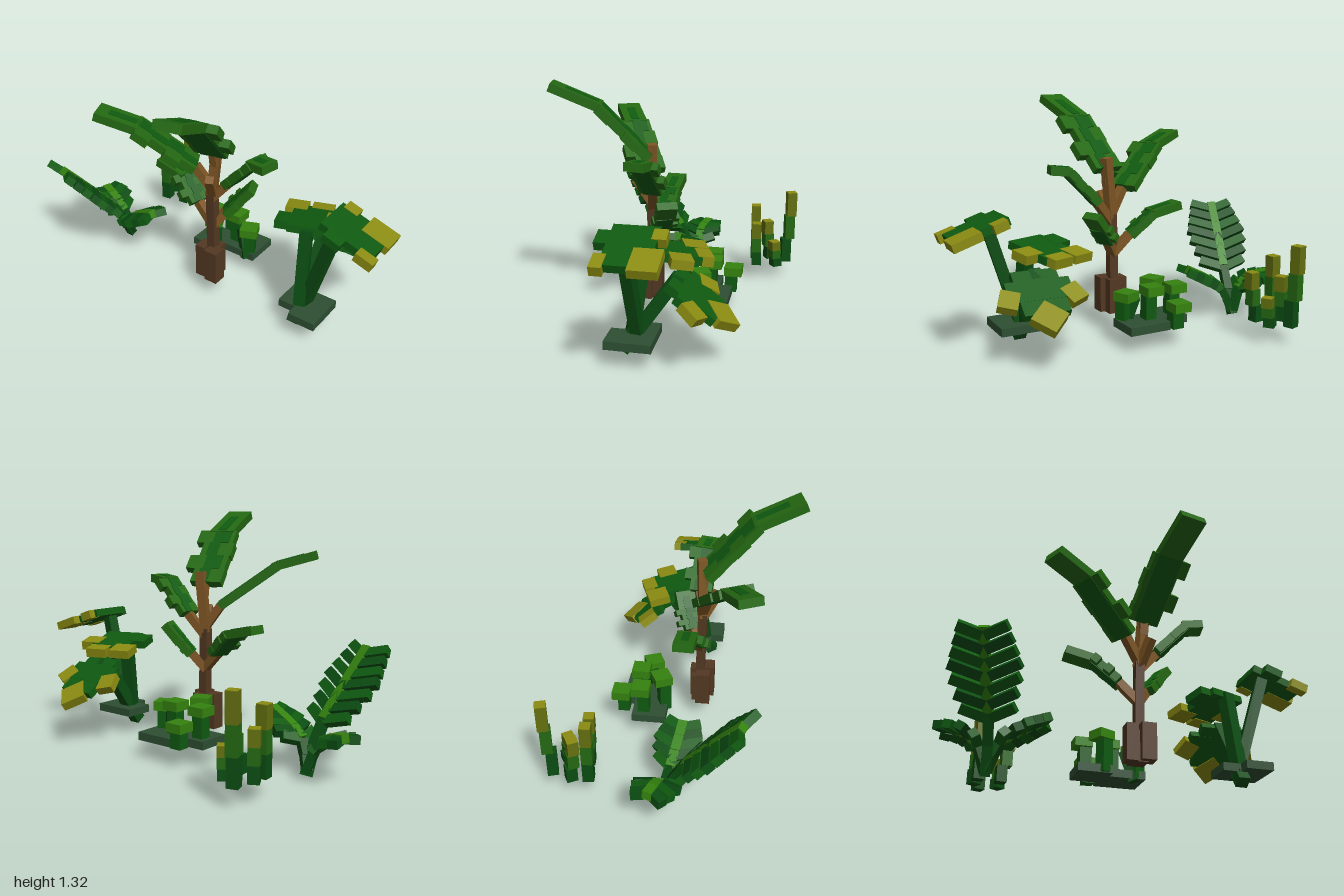
import * as THREE from 'three';

const V = (a) => new THREE.Vector3(...a);
const mat = (name, color) => Object.assign(new THREE.MeshStandardMaterial({ color }), { name });

export function createModel() {
  const M = {
    trunk: mat('dark bark', 0x533822),
    branch: mat('light bark', 0x7d5524),
    leaf: mat('leaf green', 0x246812),
    vein: mat('deep leaf green', 0x0f5a10),
    stem: mat('stem green', 0x0b4c12),
    bright: mat('bright green', 0x35830f),
    olive: mat('olive yellow', 0x8b8c12),
    dullOlive: mat('dull olive', 0x64700f),
    slab: mat('mossy grey', 0x2e4f32),
  };
  const model = new THREE.Group();
  model.name = 'jungle plants';
  const group = (name, parent = model) => {
    const g = new THREE.Group();
    g.name = name;
    parent.add(g);
    return g;
  };

  // Axis-aligned box given its centre and size, with optional turn about y
  const block = (parent, name, m, c, s, turn = 0) => {
    const b = new THREE.Mesh(new THREE.BoxGeometry(...s), m);
    b.name = name;
    b.position.set(...c);
    b.rotation.y = turn;
    parent.add(b);
    return b;
  };

  // Group whose z runs from p to q, x stays level and y is the upper face
  const frame = (parent, name, p, q) => {
    const g = group(name, parent);
    const d = V(q).sub(V(p)).normalize();
    const up = Math.abs(d.y) > 0.995 ? V([0, 0, -1]) : V([0, 1, 0]);
    const x = up.cross(d).normalize();
    g.quaternion.setFromRotationMatrix(new THREE.Matrix4().makeBasis(x, d.clone().cross(x), d));
    g.position.set(...p);
    g.userData.length = V(p).distanceTo(V(q));
    return g;
  };

  // Straight bar from p to q
  const bar = (parent, name, m, p, q, w, t = w) => {
    const g = frame(parent, name, p, q);
    const l = g.userData.length;
    block(g, name, m, [0, 0, l / 2], [w, t, l]);
    return g;
  };

  // ---- Broad-leaf tree ----
  const tree = group('tree');
  block(tree, 'trunkBase', M.trunk, [0.01, 0.2, 0.11], [0.09, 0.17, 0.09]);
  block(tree, 'trunkRootFront', M.trunk, [0.05, 0.22, 0.15], [0.08, 0.2, 0.08]);
  block(tree, 'trunkRootSide', M.trunk, [-0.035, 0.215, 0.13], [0.06, 0.2, 0.08]);
  block(tree, 'trunkRootBack', M.trunk, [0.03, 0.22, 0.085], [0.06, 0.19, 0.06]);
  bar(tree, 'trunkMiddle', M.trunk, [0.015, 0.28, 0.11], [0.017, 0.68, 0.12], 0.05);
  bar(tree, 'trunkTop', M.branch, [0.017, 0.66, 0.12], [0.05, 1.0, 0.11], 0.05);

  // Two-part leaf: ragged broad blade, bent narrower tip, darker midrib plates
  const bigLeaf = (name, root, a, b, c, w, tipW) => {
    const g = group(name, tree);
    bar(g, 'leafStem', M.branch, root, a, 0.045);
    const blade = frame(g, 'blade', a, b);
    const L = blade.userData.length;
    [0.78, 1, 0.8, 0.95].forEach((k, i) => {
      const shift = (i % 2 ? 0.08 : -0.05) * w;
      block(blade, 'bladePiece', M.leaf, [shift, 0, L * (i + 0.5) / 4], [w * k, 0.045, L / 4]);
      block(blade, 'midrib', M.vein, [-shift, 0.024, L * (i + 0.5) / 4], [w * (i % 2 ? 0.42 : 0.28), 0.005, L / 4]);
    });
    block(blade, 'bladeUnderside', M.vein, [0, -0.024, L / 2], [w * 0.6, 0.005, L]);
    const tip = frame(g, 'tip', b, c);
    const T = tip.userData.length;
    block(tip, 'tipPiece', M.leaf, [0, 0, T / 2 - 0.01], [tipW, 0.046, T + 0.02]);
    block(tip, 'midrib', M.vein, [0, 0.024, T * 0.35], [tipW * 0.35, 0.005, T * 0.7]);
  };
  bigLeaf('tallLeaf', [0.04, 0.85, 0.12], [0.04, 0.93, 0.13], [0.105, 1.21, 0.39], [0.155, 1.315, 0.63], 0.24, 0.15);
  bigLeaf('leftUpperLeaf', [0.01, 0.7, 0.12], [-0.07, 0.82, 0.15], [-0.34, 1.04, 0.3], [-0.53, 1.1, 0.39], 0.2, 0.13);
  bigLeaf('rightUpperLeaf', [0.02, 0.64, 0.12], [0.12, 0.76, 0.09], [0.29, 0.94, 0.11], [0.385, 0.95, 0.13], 0.16, 0.11);
  bigLeaf('leftLowerLeaf', [0.01, 0.46, 0.11], [-0.09, 0.56, 0.1], [-0.22, 0.68, 0.06], [-0.38, 0.715, 0.055], 0.16, 0.11);
  bigLeaf('rightLowerLeaf', [0.01, 0.45, 0.11], [0.07, 0.54, 0.06], [0.14, 0.63, 0.02], [0.2, 0.705, -0.005], 0.14, 0.11);
  bar(tree, 'frontTwig', M.branch, [0.02, 0.66, 0.12], [0.06, 0.8, 0.2], 0.045);

  // ---- Fern: spine along points, swept leaflet pairs ----
  const fern = group('fern');
  const frond = (name, pts, pairs, len, from) => {
    const g = group(name, fern);
    const curve = new THREE.CatmullRomCurve3(pts.map(V));
    const n = 5;
    for (let i = 0; i < n; i++) {
      const p = curve.getPointAt(i / n).toArray(), q = curve.getPointAt((i + 1) / n).toArray();
      bar(g, 'spine', (i + 0.5) / n < from ? M.stem : M.bright, p, q, 0.05, 0.045);
    }
    for (let i = 0; i < pairs; i++) {
      const u = from + (1 - from) * (i + 0.4) / pairs;
      const p = curve.getPointAt(u), t = curve.getTangentAt(u);
      const f = frame(g, 'leafletPair', p.toArray(), p.clone().add(t).toArray());
      const l = len * (1 - 0.35 * Math.abs((i + 0.5) / pairs - 0.45) * 2);
      for (const s of [-1, 1]) {
        const b = block(f, 'leaflet', i % 2 ? M.stem : M.vein,
          [s * (0.01 + l * 0.45), -0.01, l * 0.2], [l, 0.045, 0.052], -s * 0.42);
        b.rotation.z = -s * 0.12;
      }
    }
  };
  frond('tallFrond', [[-0.74, 0.02, -0.02], [-0.75, 0.24, 0.08], [-0.79, 0.4, 0.2], [-0.85, 0.63, 0.39]], 7, 0.19, 0.35);
  frond('rightFrond', [[-0.74, 0.04, -0.01], [-0.68, 0.19, 0.03], [-0.59, 0.25, 0.05], [-0.47, 0.31, 0.07]], 5, 0.13, 0.35);
  frond('leftFrond', [[-0.74, 0.04, -0.02], [-0.8, 0.19, -0.01], [-0.87, 0.24, -0.02], [-0.97, 0.26, -0.05]], 4, 0.12, 0.35);

  // ---- Reeds: x, z, top height, lean in x, lean in z, turn ----
  const reeds = group('reeds');
  [
    [-0.71, -0.585, 0.56, -0.01, -0.025, 0.3],
    [-0.61, -0.53, 0.27, 0.01, 0.01, 0.6],
    [-0.745, -0.48, 0.36, 0.01, 0.015, 0.5],
    [-0.735, -0.39, 0.46, 0, 0, 0.1],
    [-0.61, -0.41, 0.39, 0.035, 0, 0.1],
  ].forEach(([x, z, top, lx, lz, turn]) => {
    const g = group('reed', reeds);
    const y0 = 0.11, h = (top - y0) / 3;
    [M.stem, M.leaf, M.dullOlive].forEach((m, i) => {
      const k = i === 1 ? 0.7 : i === 2 ? 1 : 0;
      block(g, 'reedPiece', m, [x + lx * k, y0 + h * (i + 0.5), z + lz * k], [0.058, h, 0.058], turn);
    });
    block(g, 'reedCap', M.olive, [x + lx, top, z + lz], [0.056, 0.006, 0.056], turn);
  });

  // ---- Low bush on a slab: x, z, top height, turn ----
  const bush = group('bush');
  block(bush, 'slabWide', M.slab, [0.01, 0.133, -0.22], [0.24, 0.045, 0.2]);
  block(bush, 'slabNarrow', M.slab, [-0.165, 0.133, -0.155], [0.19, 0.045, 0.19]);
  [
    [-0.16, -0.32, 0.26, 0], [-0.208, -0.2, 0.33, 0], [-0.05, -0.22, 0.34, 0],
    [0.075, -0.165, 0.31, 0.4], [-0.125, -0.095, 0.35, 0.45],
  ].forEach(([x, z, top, turn]) => {
    block(bush, 'bushStem', M.vein, [x + 0.012, (top + 0.06) / 2, z + 0.012], [0.065, top - 0.17, 0.065], turn);
    block(bush, 'bushLeaf', M.bright, [x, top - 0.025, z], [0.1, 0.05, 0.1], turn);
  });
  bar(bush, 'sideStem', M.stem, [0.07, 0.1, -0.14], [0.02, 0.27, -0.17], 0.05);

  // ---- Umbrella plant: three stalks with ragged, olive-edged leaves ----
  const umbrella = group('umbrella plant');
  block(umbrella, 'slabFront', M.slab, [0.655, 0.143, 0.105], [0.155, 0.045, 0.2]);
  block(umbrella, 'slabBack', M.slab, [0.605, 0.143, 0.05], [0.258, 0.044, 0.17]);
  bar(umbrella, 'stalk', M.stem, [0.585, 0.1, 0.1], [0.56, 0.6, 0.03], 0.065);
  bar(umbrella, 'stalk', M.stem, [0.58, 0.1, 0.06], [0.76, 0.7, 0.09], 0.06);
  bar(umbrella, 'stalk', M.stem, [0.58, 0.06, 0.14], [0.58, 0.47, -0.14], 0.065);
  // Each piece: colour, distance along, sideways offset, length, width, turn
  const canopy = (p, q, pieces) => {
    const g = frame(umbrella, 'canopyLeaf', p, q);
    pieces.forEach(([m, l, w, dl, dw, turn = 0], i) =>
      block(g, 'leafPiece', m, [w, 0, l], [dw, 0.042 + i * 0.002, dl], turn));
  };
  canopy([0.575, 0.6, 0.06], [0.45, 0.54, -0.28], [
    [M.vein, 0.16, 0, 0.28, 0.22], [M.vein, 0.11, 0.13, 0.13, 0.1],
    [M.olive, 0.3, 0.1, 0.12, 0.12], [M.olive, 0.19, -0.13, 0.11, 0.11],
    [M.olive, 0.32, -0.04, 0.08, 0.12],
  ]);
  canopy([0.68, 0.74, 0.04], [0.99, 0.635, 0.04], [
    [M.vein, 0.16, 0.01, 0.3, 0.23], [M.vein, 0.11, -0.13, 0.1, 0.07],
    [M.olive, 0.255, 0.1, 0.16, 0.14], [M.olive, 0.07, 0.13, 0.08, 0.07],
    [M.olive, 0.285, -0.11, 0.1, 0.06],
  ]);
  canopy([0.59, 0.465, -0.11], [0.605, 0.26, -0.4], [
    [M.vein, 0.14, 0, 0.28, 0.24], [M.vein, 0.13, 0, 0.13, 0.34],
    [M.olive, 0.17, 0.17, 0.11, 0.1, 0.4], [M.olive, 0.17, -0.17, 0.11, 0.1, -0.4],
    [M.olive, 0.3, 0, 0.14, 0.14, Math.PI / 4],
  ]);
  return model;
}
